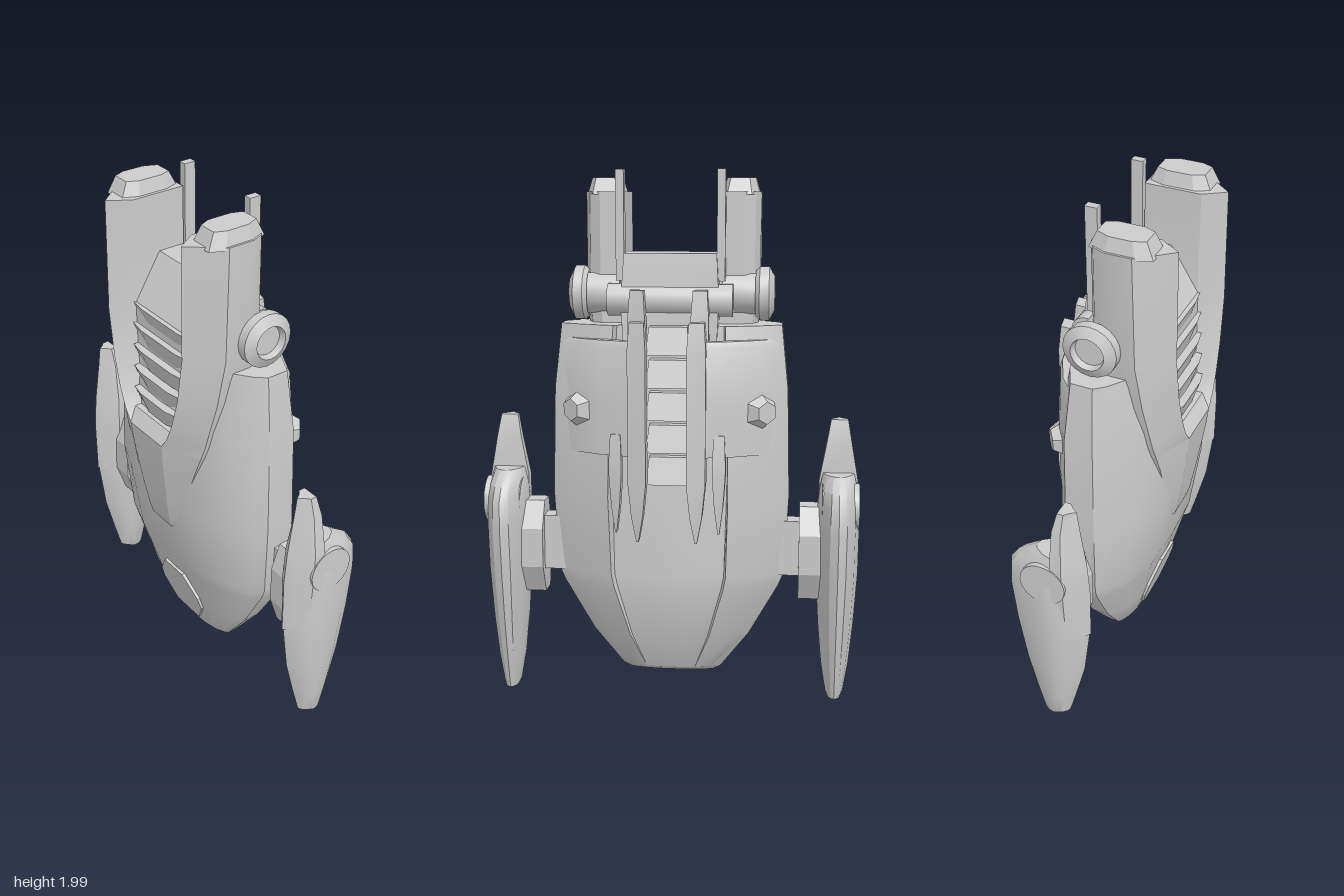
import * as THREE from 'three';
import { toCreasedNormals } from 'three/addons/utils/BufferGeometryUtils.js';

const grey = new THREE.MeshStandardMaterial({ color: 0xcccccc, side: THREE.DoubleSide });

// Skin a stack of rings ([y, [[x, z], ...]], y rising) and cap both ends.
function loft(rows, crease = 0.45) {
  const pos = [];
  const rings = rows.map(([y, pts]) => {
    const area = pts.reduce((s, p, i) => {
      const q = pts[(i + 1) % pts.length];
      return s + p[0] * q[1] - q[0] * p[1];
    }, 0);
    const ring = pts.map(([x, z]) => [x, y, z]);
    return area > 0 ? ring.reverse() : ring;
  });
  const n = rings[0].length;
  const tri = (a, b, c) => pos.push(...a, ...b, ...c);
  for (let r = 0; r < rings.length - 1; r++) {
    for (let i = 0; i < n; i++) {
      const j = (i + 1) % n, a = rings[r], b = rings[r + 1];
      tri(a[i], a[j], b[j]);
      tri(a[i], b[j], b[i]);
    }
  }
  const cap = (ring, up) => {
    const c = [0, 1, 2].map(k => ring.reduce((s, p) => s + p[k], 0) / n);
    ring.forEach((p, i) => {
      const q = ring[(i + 1) % n];
      up ? tri(c, p, q) : tri(c, q, p);
    });
  };
  cap(rings[0], false);
  cap(rings[rings.length - 1], true);
  const g = new THREE.BufferGeometry();
  g.setAttribute('position', new THREE.Float32BufferAttribute(pos, 3));
  return toCreasedNormals(g, crease);
}

// Complete a half outline running from front centre to back centre.
const mirrorRing = half => [...half, ...half.filter(p => p[0] !== 0).reverse().map(([x, z]) => [-x, z])];
const rect = (x0, x1, z0, z1) => [[x0, z0], [x1, z0], [x1, z1], [x0, z1]];
const vectors = pts => pts.map(p => new THREE.Vector2(...p));

export function createModel() {
  const model = new THREE.Group();
  const add = (name, geo, x = 0, y = 0, z = 0, parent = model) => {
    const m = new THREE.Mesh(geo, grey);
    m.name = name;
    m.position.set(x, y, z);
    parent.add(m);
    return m;
  };
  const axle = (name, radius, len, sides, x, y, z, parent) => {
    const g = toCreasedNormals(new THREE.CylinderGeometry(radius, radius, len, sides), 0.6);
    return add(name, g.rotateZ(-Math.PI / 2), x, y, z, parent);
  };

  // Hull with a channel down its back: y, half width, front z, back z, channel depth
  const hullRows = [
    [0.08, 0.16, 0.03, -0.03, 0], [0.10, 0.19, 0.05, -0.06, 0], [0.25, 0.30, 0.10, -0.135, 0.005],
    [0.45, 0.41, 0.15, -0.18, 0.025], [0.50, 0.43, 0.165, -0.187, 0.03], [0.80, 0.445, 0.21, -0.21, 0.065],
    [1.20, 0.435, 0.20, -0.20, 0.07], [1.44, 0.41, 0.16, -0.15, 0.04]];
  add('hull', loft(hullRows.map(([y, w, f, b, d]) => [y, mirrorRing([
    [0, f], [0.45 * w, 0.95 * f], [0.76 * w, 0.68 * f], [0.93 * w, 0.36 * f], [w, 0.14 * f],
    [w, 0.4 * b], [0.8 * w, 0.68 * b], [0.5 * w, 0.94 * b], [0.48 * w, 0.93 * b + d], [0.25 * w, b + d], [0, b + d]])])));

  // Nose plate, lying on the sloping front
  const badge = new THREE.Shape(vectors([[-0.075, -0.13], [0.075, -0.13], [0.13, -0.03], [0.125, 0.03],
    [0.06, 0.13], [-0.06, 0.13], [-0.125, 0.03], [-0.13, -0.03]]));
  add('nosePlate', new THREE.ExtrudeGeometry(badge, { depth: 0.022, bevelEnabled: false }), 0, 0.27, 0.088).rotation.x = 0.28;

  // Raised V panel below the intake: y, outer x, front x, outer z, front z
  const vRows = [[0.66, 0.08, 0.06, 0.18, 0.194], [0.70, 0.105, 0.065, 0.188, 0.205], [0.80, 0.145, 0.075, 0.196, 0.222],
    [1.00, 0.22, 0.095, 0.195, 0.25], [1.08, 0.25, 0.10, 0.19, 0.258]];
  add('frontPanel', loft(vRows.map(([y, xo, xf, zo, zf]) =>
    [y, [[-xo, zo], [-xf, zf], [xf, zf], [xo, zo], [xo, 0.1], [-xo, 0.1]]]), 0.3));

  // Central block with sloped front, sill and louvres
  add('coreBlock', loft([[1.10, rect(-0.16, 0.16, -0.12, 0.19)], [1.53, rect(-0.18, 0.18, -0.12, 0.17)],
    [1.70, rect(-0.17, 0.17, -0.1, 0.065)]], 0.2));
  add('intakeSill', loft([[1.08, rect(-0.1, 0.1, 0.1, 0.258)], [1.13, rect(-0.12, 0.12, 0.1, 0.222)]], 0.2));
  for (let i = 0; i < 5; i++) {
    const y = 1.13 + i * 0.08, w = 0.09 + i * 0.014, z = 0.228 - i * 0.01;
    const slat = (k, d) => [[-k, 0.08], [k, 0.08], [k, z + d - 0.012], [k * 0.6, z + d], [-k * 0.6, z + d], [-k, z + d - 0.012]];
    add('louvre' + (i + 1), loft([[y, slat(w, -0.022)], [y + 0.078, slat(w + 0.04, 0)]], 0.2));
  }

  // Stepped spine at the back and the crossbar above
  for (let i = 0; i < 5; i++) {
    const y = 0.86 + i * 0.12;
    add('spineBlock' + (i + 1), loft([[y, rect(-0.08, 0.08, -0.1, -0.205)], [y + 0.1, rect(-0.07, 0.07, -0.1, -0.175)]], 0.2));
  }
  axle('crossbar', 0.06, 0.46, 14, 0, 1.53, -0.08);

  // Shoulder disc profile: bevelled rim around a shallow dish
  const dish = vectors([[0.085, -0.035], [0.1, -0.02], [0.1, 0.015], [0.062, 0.035], [0.055, 0.01], [0, 0.01]]);

  for (const s of [1, -1]) {
    const side = new THREE.Group();
    side.name = s > 0 ? 'leftSide' : 'rightSide';
    model.add(side);
    const part = (name, geo, x, y, z) => add(name, geo, x, y, z, side);
    const flip = pts => pts.map(([x, z]) => [s * x, z]);

    // Prong: y, outer x, front x, inner x, outer z, front z
    const prong = [[1.08, 0.25, 0.10, 0.085, 0.19, 0.258], [1.13, 0.265, 0.135, 0.11, 0.183, 0.258], [1.20, 0.28, 0.165, 0.125, 0.175, 0.257],
      [1.32, 0.305, 0.20, 0.145, 0.16, 0.255], [1.50, 0.325, 0.228, 0.17, 0.14, 0.253], [1.92, 0.325, 0.225, 0.172, 0.13, 0.25]];
    part('prong', loft(prong.map(([y, xo, xf, xi, zo, zf]) => [y, flip([
      [xi, 0.17], [xf, zf], [xo, zo], [xo, 0.03], [xo - 0.02, -0.015], [xo - 0.06, -0.04], [xi, -0.04]])]), 0.5));
    const capRing = k => flip([[-0.045, 0.115], [0.045, 0.115], [0.068, 0.06], [0.068, -0.05], [0.04, -0.115], [-0.05, -0.115], [-0.07, -0.06], [-0.07, 0.06]]
      .map(([x, z]) => [0.252 + x * k, 0.078 + z * k]));
    part('prongCap', loft([[1.91, capRing(1)], [1.97, capRing(0.76)]], 0.3));
    part('antenna', new THREE.BoxGeometry(0.03, 0.4, 0.045), s * 0.185, 1.8, -0.07);

    // Shoulder joint
    axle('shoulderAxle', 0.075, 0.16, 18, s * 0.27, 1.55, -0.01, side);
    part('shoulderDisc', toCreasedNormals(new THREE.LatheGeometry(dish, 20), 0.5).rotateZ(-s * Math.PI / 2), s * 0.345, 1.55, -0.01);

    // Curved back armour overhanging the channel, with a bolt
    const plate = (k, t) => flip([[0.425, -0.078], [0.355, -0.142], [0.25, -0.196], [0.13, -0.23],
      [0.13, -0.23 + t], [0.25, -0.196 + t], [0.345, -0.142 + t], [0.4, -0.078 + t]].map(([x, z]) => [x * k, z * k]));
    part('backPlate', loft([[0.97, plate(1.0, 0.04)], [1.15, plate(1.0, 0.04)], [1.37, plate(0.95, 0.04)], [1.39, plate(0.92, 0.04)]], 0.5));
    const bolt = part('bolt', new THREE.CylinderGeometry(0.042, 0.068, 0.04, 6).toNonIndexed(), s * 0.35, 1.13, -0.155);
    bolt.geometry.computeVertexNormals();
    bolt.rotation.set(-Math.PI / 2, 0, -s * 0.65);

    // Pointed back fins: x, bottom, top, inner z, outer z, half width
    const fins = [[0.108, 0.65, 1.46, -0.19, -0.25, 0.034], [0.115, 0.95, 1.57, -0.13, -0.185, 0.032], [0.19, 0.68, 1.05, -0.175, -0.23, 0.024]];
    fins.forEach(([x, y0, y1, z0, z1, w], i) => {
      const ring = (k, d) => flip([[-1, z0], [1, z0], [1, z1 + d], [-1, z1 + d]].map(([u, z]) => [x + u * w * k, z + u * w * k * 0.25]));
      part('backFin' + (i + 1), loft([[y0, ring(0.12, 0.015)], [y0 + 0.1, ring(0.65, 0.004)], [y0 + 0.22, ring(1, 0)], [y1 - 0.1, ring(1, 0)], [y1, ring(0.8, 0.012)]], 0.3));
    });

    // Arm linking hull and pod
    part('armBracket', new THREE.BoxGeometry(0.1, 0.21, 0.08), s * 0.45, 0.6, -0.05);
    const hub = new THREE.Shape(vectors([[-0.05, -0.19], [0.03, -0.19], [0.085, -0.08], [0.085, 0.07], [0.03, 0.17],
      [-0.05, 0.17], [-0.085, 0.07], [-0.085, -0.08]]));
    part('podMount', new THREE.ExtrudeGeometry(hub, { depth: 0.09, bevelEnabled: false }).rotateY(Math.PI / 2), s * 0.53 - 0.045, 0.59, -0.045);

    // Pod rear shell: y, half width, front z, back z
    const cx = 0.63;
    const podRing = (w, f, b) => flip(mirrorRing([[0, f], [0.4 * w, f - (f - b) * 0.07], [0.82 * w, f - (f - b) * 0.22],
      [w, f - (f - b) * 0.38], [w, f - (f - b) * 0.5], [0.78 * w, f - (f - b) * 0.76], [0.38 * w, f - (f - b) * 0.95], [0, b]])
      .map(([x, z]) => [cx + x, z]));
    const shell = [[0.01, 0.025, -0.03, -0.105], [0.03, 0.034, 0, -0.11], [0.14, 0.052, 0.03, -0.135], [0.3, 0.067, 0.07, -0.17],
      [0.5, 0.079, 0.095, -0.2], [0.68, 0.08, 0.1, -0.218], [0.78, 0.076, 0.095, -0.21], [0.83, 0.07, 0.085, -0.175], [0.88, 0.058, 0.07, -0.1]];
    part('podShell', loft(shell.map(([y, ...r]) => [y, podRing(...r)]), 0.5));

    // Taller front blade of the pod
    const blade = [[0.5, 0.06, 0.1, -0.02], [0.72, 0.074, 0.102, -0.02], [0.85, 0.073, 0.092, -0.02], [1.0, 0.046, 0.07, -0.018], [1.08, 0.032, 0.06, 0]];
    part('podBlade', loft(blade.map(([y, w, f, b]) => [y, flip([[-w, b], [-w, b + 0.4 * (f - b)], [-w * 0.45, f - 0.02], [0, f],
      [w * 0.45, f - 0.02], [w, b + 0.4 * (f - b)], [w, b]].map(([x, z]) => [cx + x, z]))]), 0.5));
    axle('podDisc', 0.088, 0.138, 24, s * 0.638, 0.76, -0.05, side);
  }
  return model;
}
